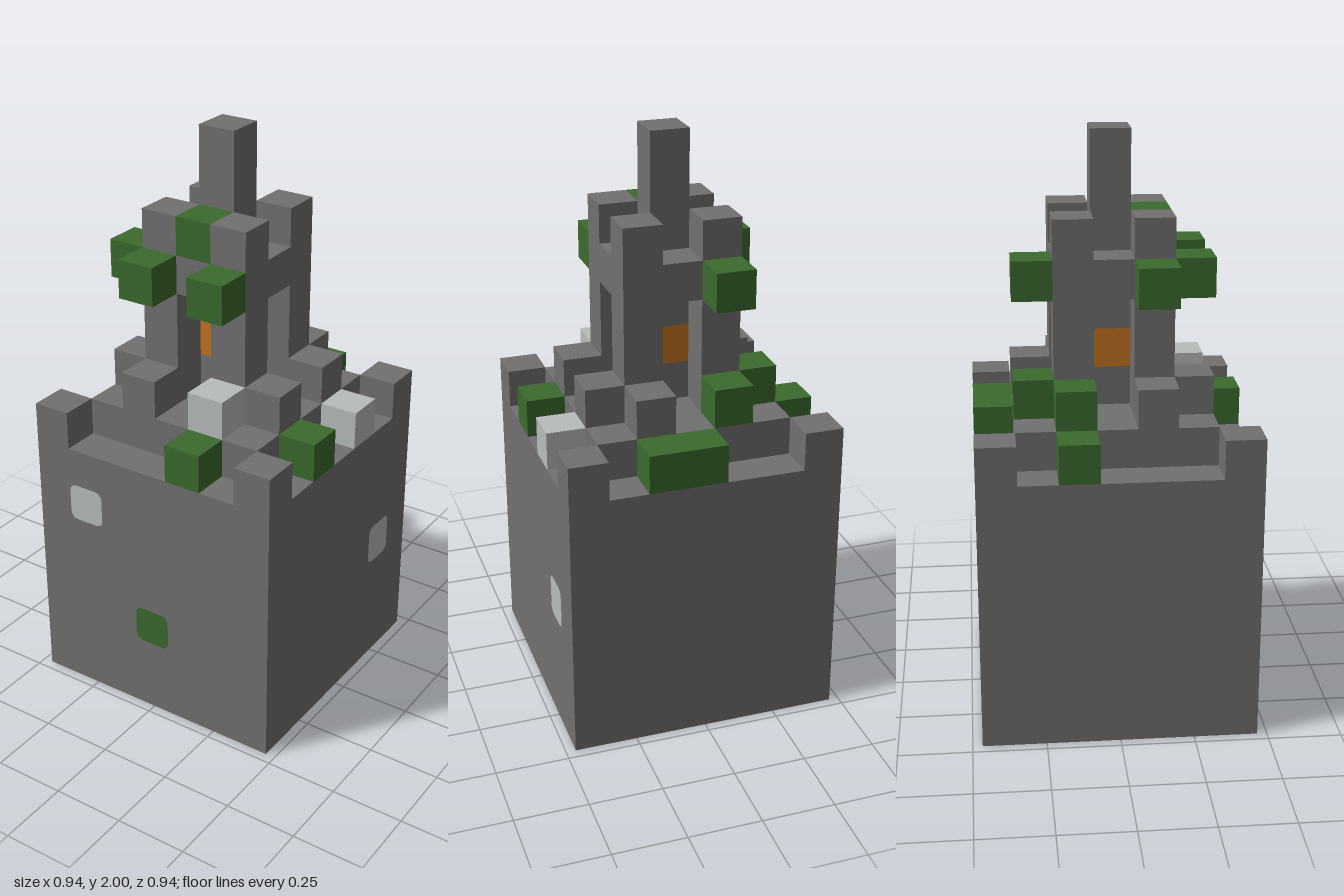
import * as THREE from 'three';

const U = 2 / 15; // edge of one block

export function createModel() {
  const model = new THREE.Group();
  const mat = (name, color) => Object.assign(new THREE.MeshStandardMaterial({ color }), { name });
  const stone = mat('stone', 0x707070);
  const moss = mat('moss', 0x3b6a2d);
  const pale = mat('paleStone', 0xb8bcbc);
  const ember = mat('ember', 0xc47320);

  // Box whose centre column is (x, z) in blocks, rising from level y
  function block(name, material, x, y, z, w = 1, h = 1, d = 1) {
    const mesh = new THREE.Mesh(new THREE.BoxGeometry(w * U, h * U, d * U), material);
    mesh.position.set(x * U, (y + h / 2) * U, z * U);
    mesh.name = name;
    model.add(mesh);
    return mesh;
  }

  // Thin patch with rounded corners, lying on a face of the base
  function patch(name, material, w, h) {
    const a = w * U / 2, b = h * U / 2, r = 0.03;
    const s = new THREE.Shape();
    s.moveTo(-a + r, -b);
    s.lineTo(a - r, -b).quadraticCurveTo(a, -b, a, -b + r);
    s.lineTo(a, b - r).quadraticCurveTo(a, b, a - r, b);
    s.lineTo(-a + r, b).quadraticCurveTo(-a, b, -a, b - r);
    s.lineTo(-a, -b + r).quadraticCurveTo(-a, -b, -a + r, -b);
    const mesh = new THREE.Mesh(new THREE.ShapeGeometry(s, 4), material);
    mesh.name = name;
    model.add(mesh);
    return mesh;
  }

  // Base and platform
  block('base', stone, 0, 0, 0, 7, 7, 7);
  block('platform', stone, 0, 7, 0, 5, 1, 5);

  // Corner posts and tower pillars
  for (const sx of [-1, 1]) for (const sz of [-1, 1]) {
    block('cornerPost', stone, sx * 3, 7, sz * 3);
    block('pillar', stone, sx, 8, sz, 1, 5, 1);
  }

  // Buttresses around the pillar feet, some weathered
  const footMaterial = { '-2,-1': moss, '-1,-2': moss, '1,2': pale };
  for (const a of [-2, 2]) for (const b of [-1, 1]) {
    for (const [x, z] of [[a, b], [b, a]]) {
      block('buttress', footMaterial[`${x},${z}`] || stone, x, 8, z);
    }
  }

  // Cross beams joining the pillars
  for (const s of [-1, 1]) {
    block('sideBeam', stone, s, 11, 0);
    block('endBeam', stone, 0, 11, s);
  }

  // Lantern core and spire
  block('pedestal', stone, 0, 8, 0);
  block('lantern', ember, 0, 9, 0);
  block('spire', stone, 0, 10, 0, 1, 5, 1);

  // Moss and pale blocks on the rim and tower
  block('rimMossBack', moss, 0.5, 7, -3, 2, 1, 1);
  const mossBlocks = [[1, 7, 3], [3, 7, 1], [-3, 7, -1], [1, 11, 2], [-1, 11, 2],
    [-2, 11, 1], [-1, 11, -2], [0, 12, 1]];
  for (const [x, y, z] of mossBlocks) block('mossBlock', moss, x, y, z);
  block('rimPaleBlock', pale, 3, 7, -1);

  // Patches on the faces of the base
  const face = 3.5 * U + 0.002;
  patch('frontPalePatch', pale, 1, 1).position.set(-2 * U, 5.5 * U, face);
  patch('frontMossPatch', moss, 1, 1).position.set(0, 2.5 * U, face);
  const side = patch('sidePalePatch', pale, 1, 1.1);
  side.position.set(face, 3.55 * U, -2 * U);
  side.rotation.y = Math.PI / 2;
  const under = patch('undersideMossPatch', moss, 1, 2);
  under.position.set(U, -0.001, -0.5 * U);
  under.rotation.x = Math.PI / 2;

  return model;
}
